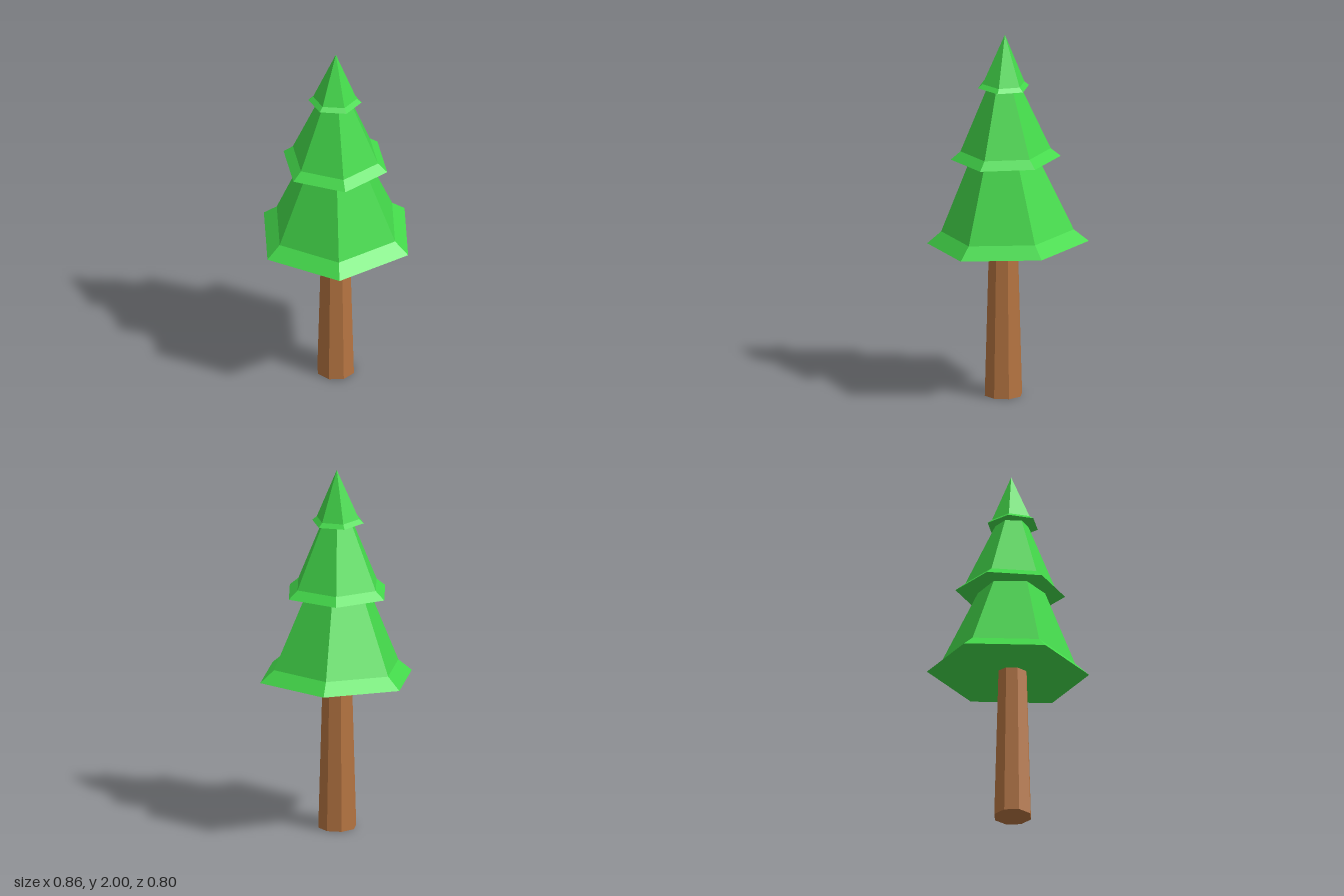
import * as THREE from 'three';

const UP = new THREE.Vector3(0, 1, 0);

// One tier of foliage: a six-sided cone with a flared rim and a flat underside.
function makeTier(name, { radius, centre, turn, lean }, material) {
  const profile = [[0, 0], [1, 0], [0.82, 0.15], [0, 2.03]]
    .map(([r, y]) => new THREE.Vector2(r * radius, y * radius));
  const geometry = new THREE.LatheGeometry(profile, 6);
  geometry.rotateY(THREE.MathUtils.degToRad(turn));
  const tier = new THREE.Mesh(geometry, material);
  tier.name = name;
  tier.position.set(...centre);
  // lean the tier's axis slightly
  tier.quaternion.setFromUnitVectors(UP, new THREE.Vector3(lean[0], 1, lean[1]).normalize());
  return tier;
}

export function createModel() {
  const tree = new THREE.Group();
  tree.name = 'pineTree';
  const leaf = new THREE.MeshStandardMaterial({ color: 0x43d84a, flatShading: true });
  const bark = new THREE.MeshStandardMaterial({ color: 0xb57441, flatShading: true });

  // Tapered eight-sided trunk
  const trunkHeight = 0.92;
  const trunk = new THREE.Mesh(new THREE.CylinderGeometry(0.078, 0.104, trunkHeight, 8), bark);
  trunk.name = 'trunk';
  trunk.position.set(-0.012, trunkHeight / 2, 0.022);
  tree.add(trunk);

  // Three foliage tiers, each smaller and turned differently
  const tiers = {
    lowerFoliage: { radius: 0.434, centre: [0, 0.847, 0], turn: 37.9, lean: [-0.025, 0.037] },
    middleFoliage: { radius: 0.294, centre: [-0.008, 1.315, 0.01], turn: 45.7, lean: [-0.009, 0.024] },
    upperFoliage: { radius: 0.143, centre: [-0.016, 1.709, 0.021], turn: 1, lean: [0.028, -0.02] },
  };
  for (const [name, spec] of Object.entries(tiers)) tree.add(makeTier(name, spec, leaf));

  return tree;
}
